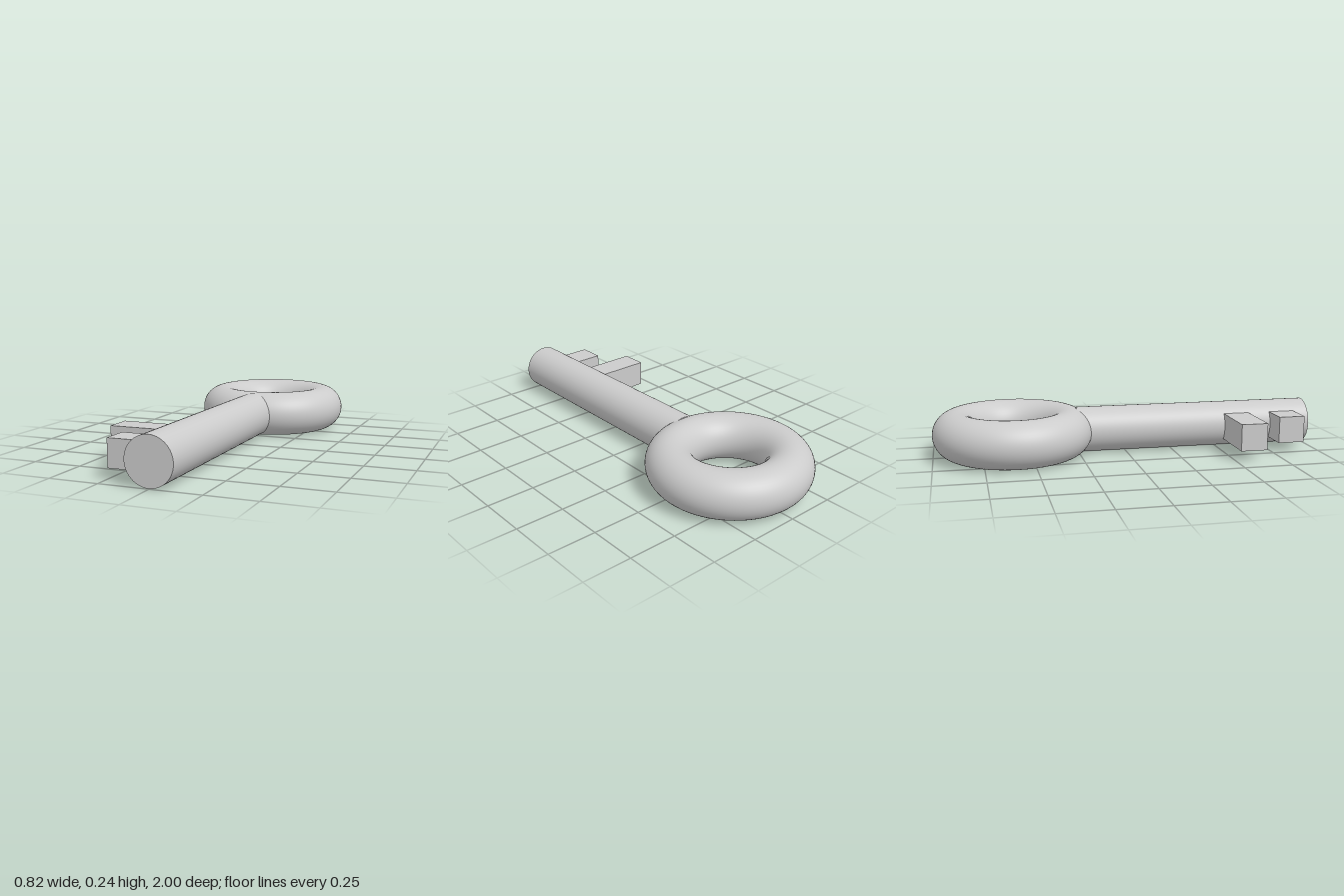
import * as THREE from 'three';

export function createModel() {
  const key = new THREE.Group();
  key.name = 'key';
  const material = new THREE.MeshStandardMaterial({ color: 0xcccccc });
  const midY = 0.122;

  const add = (name, geometry, x, z) => {
    const mesh = new THREE.Mesh(geometry, material);
    mesh.name = name;
    mesh.position.set(x, midY, z);
    key.add(mesh);
  };

  // ring handle, lying flat
  const ring = new THREE.TorusGeometry(0.29, 0.12, 48, 96);
  ring.rotateX(Math.PI / 2);
  add('handleRing', ring, 0, -0.59);

  // round shaft, its back end sunk into the ring
  const back = -0.26, front = 1;
  const shaft = new THREE.CylinderGeometry(0.118, 0.118, front - back, 64);
  shaft.rotateX(Math.PI / 2);
  add('shaft', shaft, 0, (back + front) / 2);

  // two square teeth on the right side, rooted inside the shaft
  const root = -0.05;
  for (const [name, tip, z] of [['longTooth', -0.378, 0.593], ['shortTooth', -0.248, 0.848]]) {
    add(name, new THREE.BoxGeometry(root - tip, 0.138, 0.138), (root + tip) / 2, z);
  }

  return key;
}
